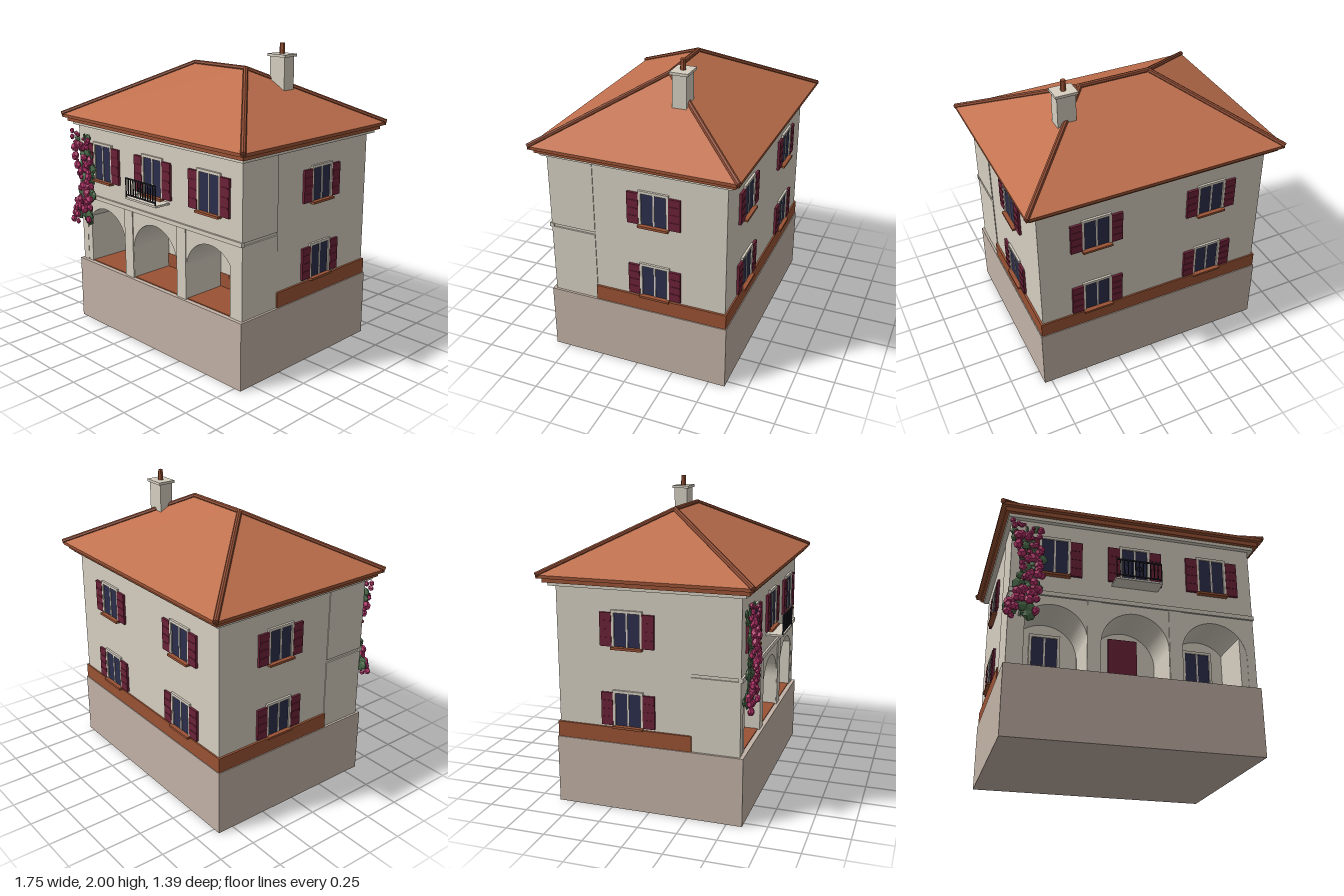
import * as THREE from 'three';

const mat = (color, side = THREE.FrontSide) => new THREE.MeshStandardMaterial({ color, side, flatShading: true });
const M = {
  wall: mat(0xd6cfc1), base: mat(0xc2b2a6), tile: mat(0xc0704d), ridge: mat(0x8f4c33), brick: mat(0x9a5234),
  shutter: mat(0x6b2238), glass: mat(0x2c2e4c), iron: mat(0x24242c), flower: mat(0xb5336a), leaf: mat(0x4a6b4a),
};

function add(parent, name, geo, material, x = 0, y = 0, z = 0) {
  const m = new THREE.Mesh(geo, material);
  m.name = name;
  m.position.set(x, y, z);
  parent.add(m);
  return m;
}

// box given by its extents
function box(parent, name, material, x0, x1, y0, y1, z0, z1) {
  return add(parent, name, new THREE.BoxGeometry(x1 - x0, y1 - y0, z1 - z0), material,
    (x0 + x1) / 2, (y0 + y1) / 2, (z0 + z1) / 2);
}

// round bar between two points
function bar(parent, name, material, a, b, r, sides = 8) {
  const m = add(parent, name, new THREE.CylinderGeometry(r, r, a.distanceTo(b), sides), material);
  m.position.copy(a).lerp(b, 0.5);
  m.quaternion.setFromUnitVectors(new THREE.Vector3(0, 1, 0), b.clone().sub(a).normalize());
}

// window facing +z, origin at the bottom centre of the glass
function makeWindow(parent, x, y, z, turn, h, shutters = true) {
  const g = new THREE.Group();
  g.name = 'window';
  const w = 0.082;
  for (const s of [-1, 1]) {
    const a = s * w, b = s * (w + 0.017);
    box(g, 'frameSide', M.wall, Math.min(a, b), Math.max(a, b), 0, h, -0.01, 0.014);
    if (!shutters) continue;
    const c = s * 0.136;
    box(g, 'shutter', M.shutter, c - 0.038, c + 0.038, 0, h, -0.005, 0.016);
    for (let i = 1; i < 4; i++)
      box(g, 'shutterSlat', M.shutter, c - 0.032, c + 0.032, h * i / 4 - 0.004, h * i / 4 + 0.004, 0.01, 0.019);
  }
  box(g, 'lintel', M.wall, -w - 0.017, w + 0.017, h, h + 0.018, -0.01, 0.014);
  box(g, 'glass', M.glass, -w, w, 0, h, -0.01, 0.006);
  box(g, 'mullion', M.wall, -0.005, 0.005, 0, h, -0.01, 0.01);
  box(g, 'sill', M.brick, -0.1, 0.1, -0.015, 0, -0.01, 0.034);
  g.position.set(x, y, z);
  g.rotation.y = turn;
  parent.add(g);
}

// porch front: one solid with three round-arched bays cut through to the house wall
function arcade(parent) {
  const s = new THREE.Shape(), r = 0.215, spring = 0.64, y0 = 0.44;
  s.moveTo(-0.785, y0);
  for (const c of [-0.515, 0, 0.515]) {
    s.lineTo(c - r, y0);
    s.lineTo(c - r, spring);
    s.absarc(c, spring, r, Math.PI, 0, true);
    s.lineTo(c + r, y0);
  }
  s.lineTo(0.785, y0);
  s.lineTo(0.785, 0.91);
  s.lineTo(-0.785, 0.91);
  const geo = new THREE.ExtrudeGeometry(s, { depth: 0.305, bevelEnabled: false, curveSegments: 20 });
  add(parent, 'arcade', geo, M.wall, 0, 0, 0.272);
  for (const k of [-1, 1]) {
    box(parent, 'pier', M.wall, k * 0.26 - 0.042, k * 0.26 + 0.042, y0, 0.91, 0.3, 0.583);
    box(parent, 'cornerPier', M.wall, k * 0.733 - 0.05, k * 0.733 + 0.05, y0, 0.9, 0.272, 0.575);
  }
  box(parent, 'porchFloor', M.brick, -0.77, 0.77, y0, 0.446, 0.26, 0.57);
}

function roof(parent) {
  const g = new THREE.Group();
  g.name = 'roof';
  parent.add(g);
  const zc = -0.0125, X = 0.865, Z = 0.672, y0 = 1.485, y1 = 1.835;
  box(g, 'cornice', M.wall, -0.815, 0.815, 1.415, 1.437, zc - 0.62, zc + 0.62);
  box(g, 'fascia', M.brick, -0.838, 0.838, 1.437, 1.465, zc - 0.645, zc + 0.645);
  box(g, 'eaves', M.brick, -X, X, 1.465, y0, zc - Z, zc + Z);
  const P = [[-X, y0, zc + Z], [X, y0, zc + Z], [X, y0, zc - Z], [-X, y0, zc - Z],
    [-0.235, y1, zc], [0.235, y1, zc]].map(p => new THREE.Vector3(...p));
  const faces = [0, 1, 5, 0, 5, 4, 1, 2, 5, 2, 3, 4, 2, 4, 5, 3, 0, 4];
  const geo = new THREE.BufferGeometry().setFromPoints(faces.map(i => P[i]));
  geo.computeVertexNormals();
  add(g, 'hipRoof', geo, M.tile);
  // ridge and hip tiles
  for (const [a, b] of [[4, 5], [0, 4], [3, 4], [1, 5], [2, 5]]) bar(g, 'ridgeTiles', M.ridge, P[a], P[b], 0.017);
}

function chimney(parent) {
  const g = new THREE.Group();
  g.name = 'chimney';
  parent.add(g);
  box(g, 'stack', M.wall, 0.347, 0.469, 1.58, 1.915, -0.213, -0.121);
  box(g, 'cap', M.wall, 0.335, 0.481, 1.915, 1.932, -0.226, -0.108);
  add(g, 'pot', new THREE.CylinderGeometry(0.016, 0.019, 0.07, 6), M.brick, 0.408, 1.965, -0.167);
}

function balcony(parent) {
  const g = new THREE.Group();
  g.name = 'balcony';
  parent.add(g);
  const z = 0.685;
  box(g, 'slab', M.wall, -0.15, 0.15, 1.03, 1.043, 0.57, 0.688);
  for (const y of [1.06, 1.168]) box(g, 'rail', M.iron, -0.147, 0.147, y - 0.004, y + 0.004, z - 0.004, z + 0.004);
  for (let i = 0; i <= 12; i++) {
    const x = -0.144 + i * 0.024;
    box(g, 'baluster', M.iron, x - 0.003, x + 0.003, i % 12 ? 1.06 : 1.04, 1.168, z - 0.003, z + 0.003);
  }
  add(g, 'ornament', new THREE.TorusGeometry(0.016, 0.003, 6, 12), M.iron, 0, 1.115, z);
}

// climbing plant hanging down the front corner
function climber(parent) {
  const g = new THREE.Group();
  g.name = 'climbingPlant';
  parent.add(g);
  let seed = 11;
  const rnd = () => (seed = (seed * 16807) % 2147483647) / 2147483647;
  const path = new THREE.CatmullRomCurve3([[-0.7, 1.36], [-0.68, 1.2], [-0.66, 1.03], [-0.7, 0.88], [-0.72, 0.74]]
    .map(([x, y]) => new THREE.Vector3(x, y, 0.6)));
  add(g, 'stem', new THREE.TubeGeometry(path, 20, 0.008, 5), M.leaf);
  const leafGeo = new THREE.IcosahedronGeometry(1, 0), flowerGeo = new THREE.DodecahedronGeometry(1, 0);
  for (let i = 0; i < 120; i++) {
    const t = (i + rnd()) / 120, p = path.getPoint(t), isLeaf = rnd() < 0.36;
    const r = isLeaf ? 0.028 + rnd() * 0.018 : 0.013 + rnd() * 0.019;
    const spread = 0.1 - 0.03 * Math.sin(t * Math.PI);
    const m = add(g, isLeaf ? 'leaf' : 'flower', isLeaf ? leafGeo : flowerGeo, isLeaf ? M.leaf : M.flower,
      p.x + (rnd() * 2 - 1) * spread, p.y + (rnd() - 0.5) * 0.04, isLeaf ? 0.6 + rnd() * 0.015 : 0.622 + rnd() * 0.025);
    m.scale.set(r, r, r * (isLeaf ? 0.4 : 0.7));
    m.rotation.z = rnd() * 6.28;
  }
}

export function createModel() {
  const house = new THREE.Group();
  house.name = 'villa';

  // masses
  box(house, 'plinth', M.base, -0.8, 0.8, 0, 0.44, -0.61, 0.6);
  box(house, 'mainBlock', M.wall, -0.78, 0.78, 0.44, 1.42, -0.595, 0.272);
  box(house, 'dado', M.brick, -0.794, 0.794, 0.44, 0.54, -0.605, 0.275);
  box(house, 'upperFront', M.wall, -0.785, 0.785, 0.93, 1.42, 0.272, 0.577);
  box(house, 'floorJoint', M.wall, -0.775, 0.775, 0.9, 0.94, 0.27, 0.57);
  box(house, 'stringCourse', M.wall, -0.79, 0.79, 0.908, 0.936, 0.562, 0.59);
  arcade(house);

  // door
  box(house, 'door', M.shutter, -0.095, 0.095, 0.44, 0.805, 0.26, 0.29);

  // windows
  for (const x of [-0.515, 0, 0.515]) makeWindow(house, x, 1.06, 0.577, 0, 0.24);
  for (const s of [-1, 1]) {
    makeWindow(house, s * 0.507, 0.55, 0.275, 0, 0.215, false);
    for (const y of [0.555, 1.06]) {
      makeWindow(house, s * 0.78, y, -0.132, s * Math.PI / 2, 0.21);
      makeWindow(house, s * 0.4, y, -0.595, Math.PI, 0.21);
    }
  }

  roof(house);
  chimney(house);
  balcony(house);
  climber(house);
  return house;
}
